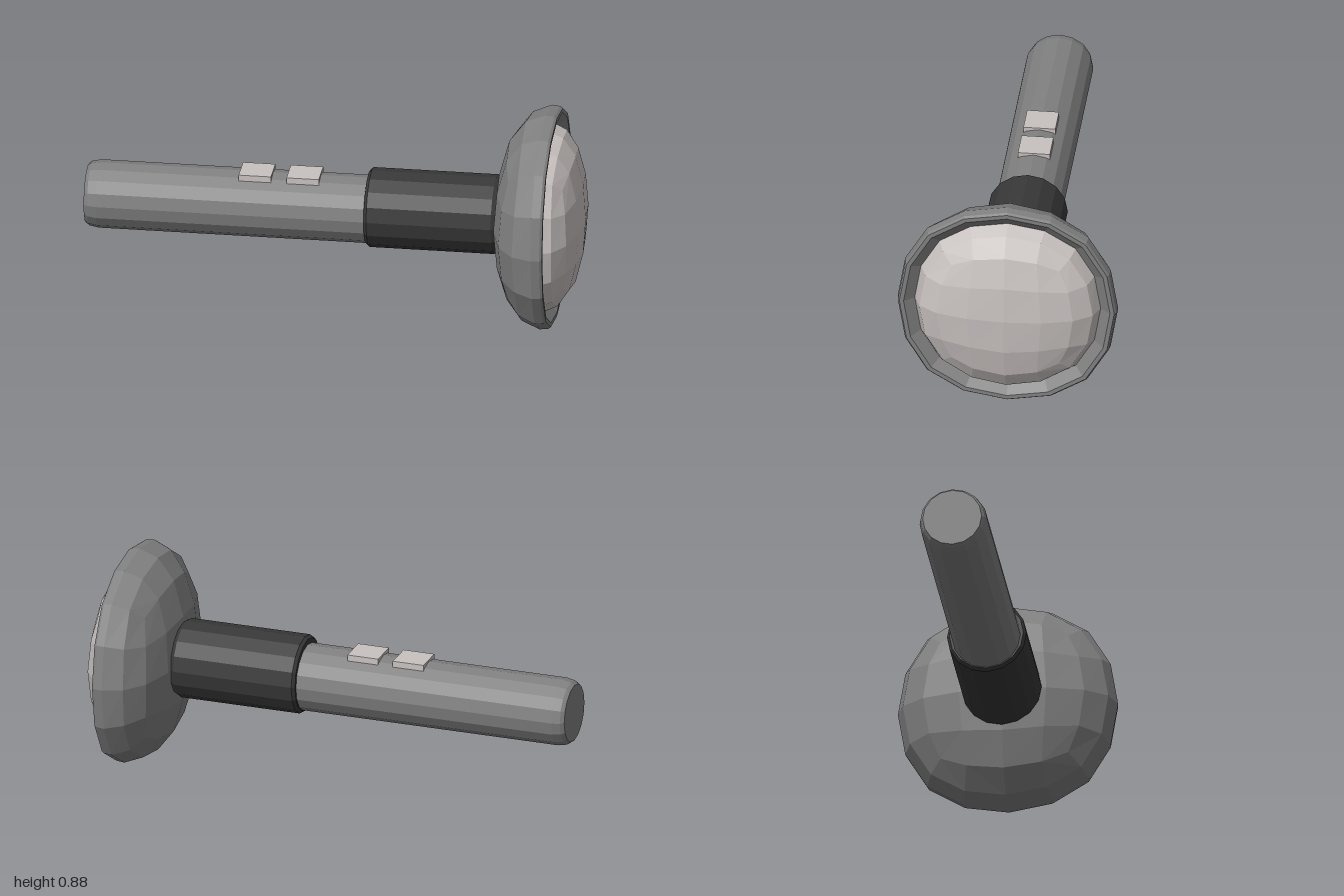
import * as THREE from 'three';

const AXIS_Y = 0.443;

// Faceted normals
function facet(geometry) {
  const g = geometry.index ? geometry.toNonIndexed() : geometry;
  g.computeVertexNormals();
  return g;
}

// Rounded-cube rule: grid step (sorted, largest last) -> smoothed position
const ROUND = {
  '002': [0, 0, 0.8785], '012': [0, 0.3505, 0.8195], '112': [0.326, 0.326, 0.764],
  '022': [0, 0.643, 0.643], '122': [0.3015, 0.599, 0.599], '222': [0.509, 0.509, 0.509],
};
function roundPoint(v) {
  const a = v.map((n) => Math.abs(Math.round(n)));
  const sorted = [...a].sort();
  const target = ROUND[sorted.join('')];
  return v.map((n, i) => (Math.sign(Math.round(n)) * target[sorted.indexOf(a[i])]) / 0.8785);
}

// Half of a rounded cube: bulges along side (+1 or -1) of x, flat on the other
function halfDome(cx, depth, radius, side) {
  const g = new THREE.BoxGeometry(4, 4, 4, 4, 4, 4);
  const p = g.attributes.position;
  for (let i = 0; i < p.count; i++) {
    const [x, y, z] = roundPoint([p.getX(i), p.getY(i), p.getZ(i)]);
    p.setXYZ(i, cx + (x * side > 0 ? x * depth : 0), y * radius, z * radius);
  }
  return facet(g);
}

// Bands joining 16-sided outlines, given as [x, radius]
function bands(profile) {
  const quarter = [[2, 0], [2, 1], [2, 2], [1, 2]];
  const outline = [];
  for (let q = 0; q < 4; q++) {
    for (const [a, b] of quarter) {
      let [y, z] = [a, b];
      for (let k = 0; k < q; k++) [y, z] = [-z, y];
      outline.push(roundPoint([0, y, z]));
    }
  }
  const pos = [];
  const put = (j, i) => {
    const [x, r] = profile[j], o = outline[i % 16];
    pos.push(x, o[1] * r, o[2] * r);
  };
  for (let j = 0; j < profile.length - 1; j++) {
    for (let i = 0; i < 16; i++) {
      put(j, i); put(j, i + 1); put(j + 1, i + 1);
      put(j, i); put(j + 1, i + 1); put(j + 1, i);
    }
  }
  const g = new THREE.BufferGeometry();
  g.setAttribute('position', new THREE.Float32BufferAttribute(pos, 3));
  return facet(g);
}

// Turned part along x, profile as [x, radius]
function turned(profile) {
  const g = new THREE.LatheGeometry(profile.map(([x, r]) => new THREE.Vector2(r, x)), 16);
  return facet(g.rotateZ(-Math.PI / 2));
}

export function createModel() {
  const mat = (name, color) => {
    const m = new THREE.MeshStandardMaterial({ color });
    m.name = name;
    return m;
  };
  const grey = mat('mid grey', 0x808080);
  const dark = mat('dark grey', 0x383838);
  const pale = mat('pale grey', 0xc8c2c0);

  const model = new THREE.Group();
  model.name = 'handheldLamp';
  const add = (name, geometry, material, y = AXIS_Y, x = 0) => {
    const mesh = new THREE.Mesh(geometry, material);
    mesh.name = name;
    mesh.position.set(x, y, 0);
    model.add(mesh);
  };

  // Handle and grip sleeve
  add('handle', turned([[-1, 0], [-1, 0.118], [-0.985, 0.129], [-0.95, 0.136], [0.2, 0.136]]), grey, 0.434);
  add('sleeve', turned([[0.128, 0], [0.128, 0.148], [0.14, 0.159], [0.64, 0.159], [0.655, 0.15], [0.67, 0]]), dark);

  // Head: rounded back shell, rim with recess, and front dome
  add('headShell', halfDome(0.84, 0.2, 0.441, -1), grey);
  add('headRim', bands([[0.84, 0.441], [0.874, 0.437], [0.884, 0.43], [0.884, 0.413], [0.85, 0.372]]), grey);
  add('frontDome', halfDome(0.85, 0.15, 0.372, 1), pale);

  // Buttons on top of the handle
  for (const [name, x] of [['rearButton', -0.32], ['frontButton', -0.128]]) {
    add(name, new THREE.BoxGeometry(0.13, 0.026, 0.128), pale, 0.564, x);
  }
  return model;
}
